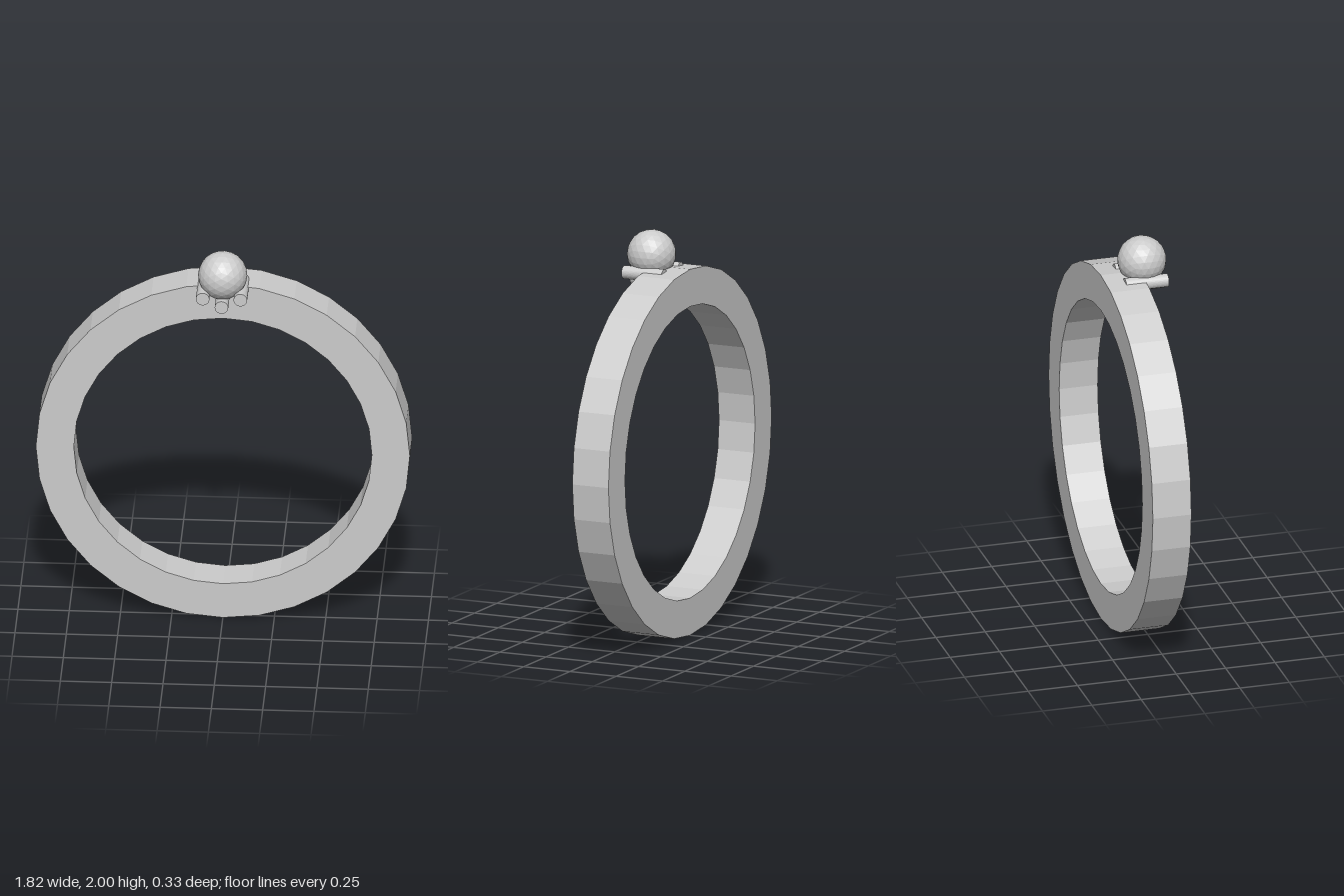
import * as THREE from 'three';

const material = new THREE.MeshStandardMaterial({ color: 0xcccccc, flatShading: true });

// Regular polygon points, counter-clockwise, with a vertex at the top
function polygon(radius, sides) {
  return Array.from({ length: sides }, (_, i) => {
    const a = (i / sides) * Math.PI * 2;
    return new THREE.Vector2(-Math.sin(a) * radius, Math.cos(a) * radius);
  });
}

export function createModel() {
  const group = new THREE.Group();
  const add = (name, geometry, x, y, z) => {
    const mesh = new THREE.Mesh(geometry, material);
    mesh.name = name;
    mesh.position.set(x, y, z);
    group.add(mesh);
  };

  // Flat-sided faceted band
  const outline = new THREE.Shape(polygon(0.911, 32));
  outline.holes.push(new THREE.Path(polygon(0.726, 32)));
  const band = new THREE.ExtrudeGeometry(outline, { depth: 0.195, bevelEnabled: false });
  add('band', band, 0, 0.911, -0.165);

  // Faceted round stone
  add('stone', new THREE.IcosahedronGeometry(0.12, 3), 0, 1.88, 0.043);

  // Three pegs holding the stone, running front to back through the band
  const peg = new THREE.CylinderGeometry(0.033, 0.033, 0.215, 32);
  peg.rotateX(Math.PI / 2);
  add('leftPeg', peg, 0.092, 1.797, 0.038);
  add('rightPeg', peg, -0.092, 1.797, 0.038);
  add('lowerPeg', peg, 0, 1.754, 0.038);

  return group;
}
